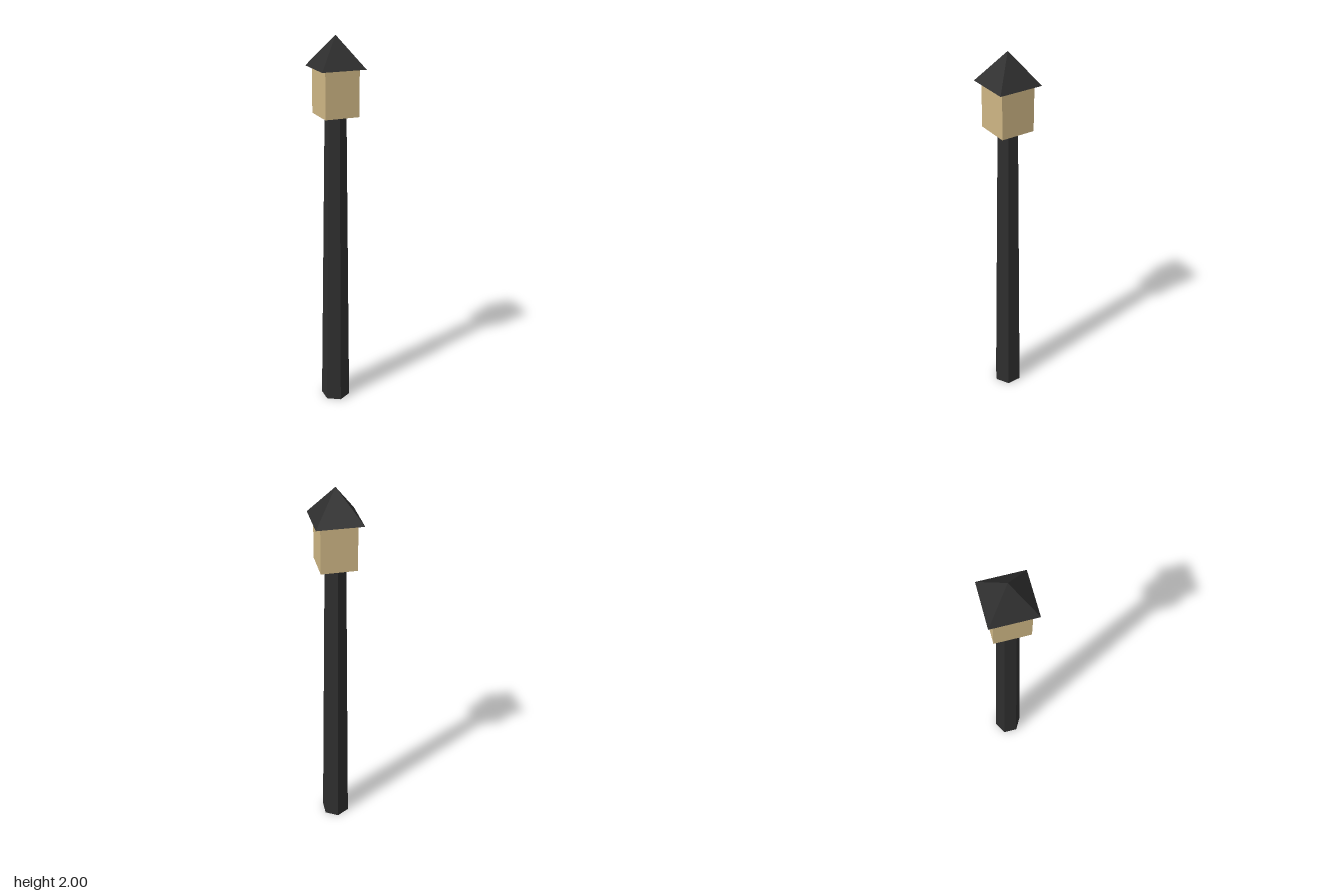
import * as THREE from 'three';

export function createModel() {
  const iron = new THREE.MeshStandardMaterial({ color: 0x2e2e2e });
  iron.name = 'darkIron';
  const glass = new THREE.MeshStandardMaterial({ color: 0xcdb584 });
  glass.name = 'warmGlass';

  const model = new THREE.Group();
  model.name = 'lampPost';

  // Adds a faceted part whose base sits at the given height
  function addPart(name, geometry, material, base, height) {
    const flat = geometry.index ? geometry.toNonIndexed() : geometry;
    flat.computeVertexNormals();
    const mesh = new THREE.Mesh(flat, material);
    mesh.name = name;
    mesh.position.y = base + height / 2;
    model.add(mesh);
  }

  const postHeight = 1.612, lanternHeight = 0.233, roofHeight = 0.155;
  const roofBase = postHeight + lanternHeight;

  // Tapered six-sided post, corners towards front and back
  addPart('post', new THREE.CylinderGeometry(0.055, 0.078, postHeight, 6), iron, 0, postHeight);

  // Square lantern box
  addPart('lantern', new THREE.BoxGeometry(0.178, lanternHeight, 0.178), glass, postHeight, lanternHeight);

  // Pyramid roof overhanging the lantern
  const roof = new THREE.ConeGeometry(0.114 * Math.SQRT2, roofHeight, 4).rotateY(Math.PI / 4);
  addPart('roof', roof, iron, roofBase, roofHeight);

  return model;
}
